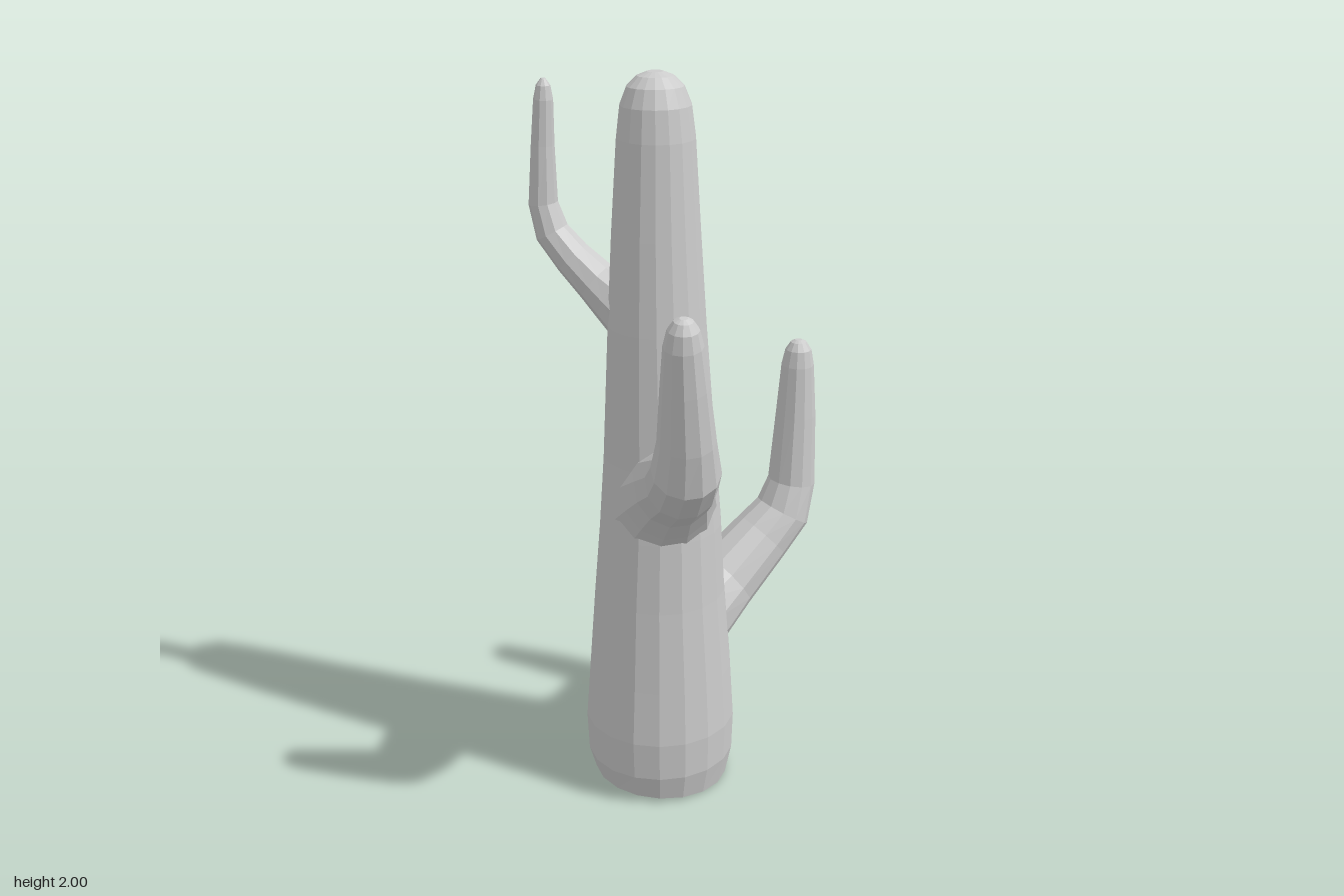
import * as THREE from 'three';

const material = new THREE.MeshStandardMaterial({ color: 0xcccccc, flatShading: true });

// Sweeps round rings along a path of [x, y, z, radius] and closes both ends.
function limb(name, path, sides) {
  const centres = path.map(p => new THREE.Vector3(p[0], p[1], p[2]));
  const last = path.length - 1;
  const pos = [], index = [];
  let u = new THREE.Vector3(1, 0, 0.37);
  centres.forEach((c, i) => {
    // the ring faces halfway between the segments that meet here
    const t = new THREE.Vector3();
    if (i > 0) t.add(c.clone().sub(centres[i - 1]).normalize());
    if (i < last) t.add(centres[i + 1].clone().sub(c).normalize());
    t.normalize();
    u = u.clone().addScaledVector(t, -u.dot(t)).normalize();
    const v = new THREE.Vector3().crossVectors(t, u);
    for (let s = 0; s < sides; s++) {
      const a = (s / sides) * Math.PI * 2;
      const p = c.clone()
        .addScaledVector(u, Math.cos(a) * path[i][3])
        .addScaledVector(v, Math.sin(a) * path[i][3]);
      pos.push(p.x, p.y, p.z);
    }
  });
  for (let i = 0; i < last; i++) {
    for (let s = 0; s < sides; s++) {
      const n = (s + 1) % sides;
      const a = i * sides + s, b = i * sides + n;
      index.push(a, b, b + sides, a, b + sides, a + sides);
    }
  }
  // end caps
  const start = pos.length / 3;
  pos.push(...centres[0].toArray(), ...centres[last].toArray());
  for (let s = 0; s < sides; s++) {
    const n = (s + 1) % sides;
    index.push(start, n, s, start + 1, last * sides + s, last * sides + n);
  }
  const geo = new THREE.BufferGeometry();
  geo.setAttribute('position', new THREE.Float32BufferAttribute(pos, 3));
  geo.setIndex(index);
  geo.computeVertexNormals();
  const mesh = new THREE.Mesh(geo, material);
  mesh.name = name;
  return mesh;
}

export function createModel() {
  const group = new THREE.Group();
  group.name = 'cactus';

  // Trunk: narrow foot, slight bulge, long taper and a domed top
  const trunk = limb('trunk', [
    [-0.09, 0.014, -0.133, 0.188], [-0.09, 0.09, -0.133, 0.206], [-0.09, 0.2, -0.133, 0.21],
    [-0.088, 0.36, -0.133, 0.199], [-0.088, 0.6, -0.128, 0.18], [-0.085, 0.8, -0.122, 0.166],
    [-0.086, 1.0, -0.118, 0.151], [-0.09, 1.36, -0.115, 0.129], [-0.09, 1.6, -0.115, 0.115],
    [-0.088, 1.84, -0.115, 0.1], [-0.088, 1.92, -0.116, 0.09], [-0.088, 1.965, -0.117, 0.072],
    [-0.088, 1.99, -0.118, 0.046], [-0.088, 2.0, -0.118, 0.02],
  ], 18);
  // the cut at the foot slopes a little
  const p = trunk.geometry.attributes.position;
  for (let i = 0; i < p.count; i++) {
    if (p.getY(i) < 0.05) p.setY(i, p.getY(i) - 0.06 * (p.getX(i) + 0.09));
  }
  trunk.geometry.computeVertexNormals();
  group.add(trunk);

  // Low arm on the left side
  group.add(limb('leftArm', [
    [-0.05, 0.45, -0.17, 0.145], [0.04, 0.495, -0.205, 0.125], [0.12, 0.545, -0.237, 0.1],
    [0.235, 0.645, -0.283, 0.087], [0.3, 0.71, -0.303, 0.08], [0.327, 0.8, -0.313, 0.067],
    [0.335, 1.0, -0.314, 0.056], [0.337, 1.15, -0.312, 0.045], [0.338, 1.195, -0.311, 0.036],
    [0.338, 1.216, -0.311, 0.022], [0.338, 1.222, -0.311, 0.01],
  ], 12));

  // Middle arm on the front
  group.add(limb('frontArm', [
    [-0.085, 0.88, -0.07, 0.145], [-0.083, 0.93, 0.0, 0.125], [-0.082, 0.982, 0.08, 0.105],
    [-0.081, 1.038, 0.18, 0.094], [-0.082, 1.1, 0.247, 0.088], [-0.086, 1.19, 0.276, 0.073],
    [-0.096, 1.34, 0.309, 0.06], [-0.103, 1.45, 0.331, 0.049], [-0.104, 1.492, 0.338, 0.039],
    [-0.104, 1.514, 0.341, 0.024], [-0.104, 1.521, 0.342, 0.01],
  ], 12));

  // Thin high arm on the right side
  group.add(limb('rightArm', [
    [-0.13, 1.37, -0.14, 0.092], [-0.195, 1.42, -0.18, 0.07], [-0.235, 1.455, -0.203, 0.058],
    [-0.29, 1.512, -0.235, 0.05], [-0.338, 1.575, -0.26, 0.045], [-0.357, 1.65, -0.27, 0.038],
    [-0.353, 1.8, -0.268, 0.03], [-0.348, 1.915, -0.264, 0.025], [-0.347, 1.95, -0.263, 0.018],
    [-0.347, 1.967, -0.262, 0.006],
  ], 10));

  return group;
}
